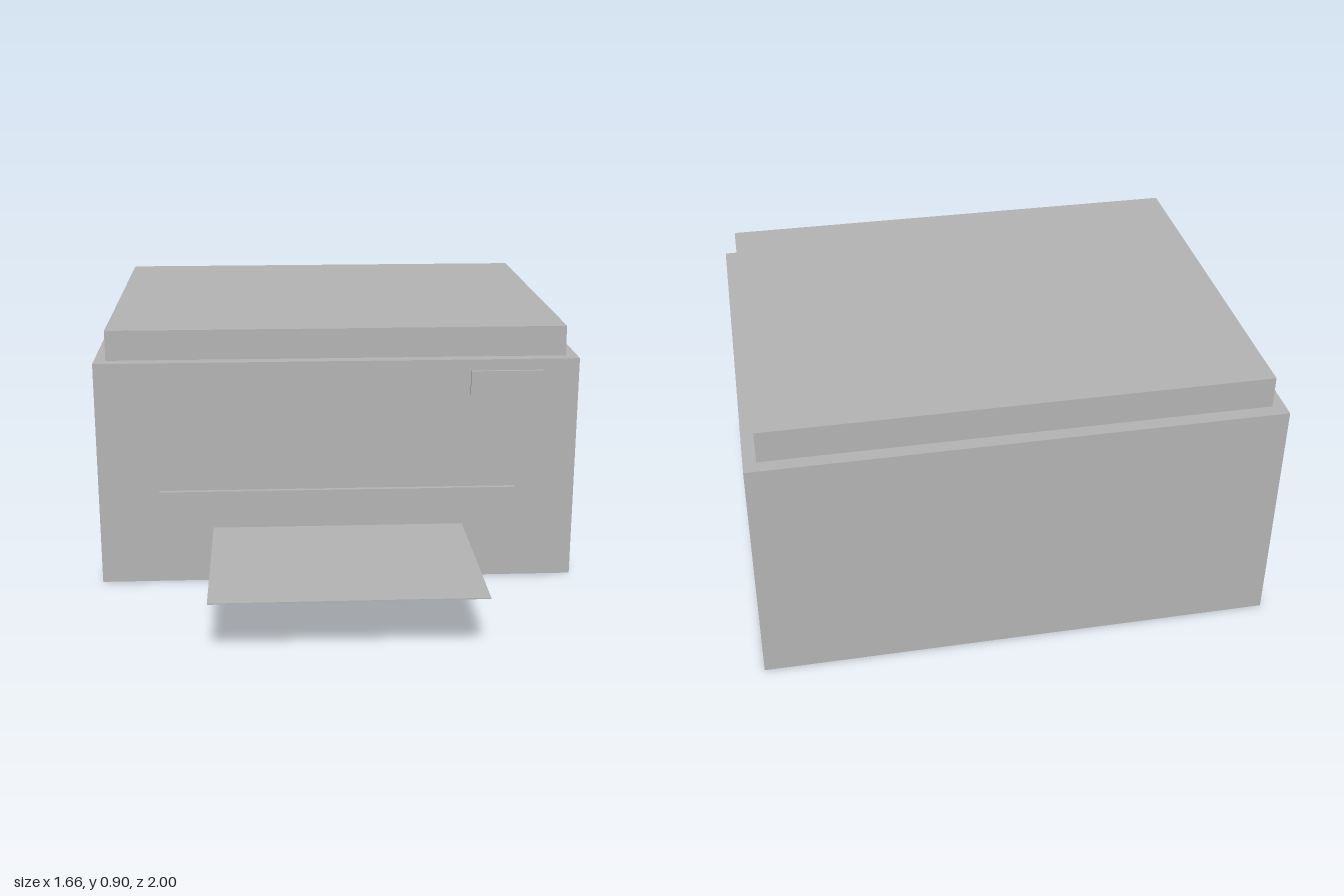
import * as THREE from 'three';

export function createModel() {
  const model = new THREE.Group();
  model.name = 'printer';

  const grey = new THREE.MeshStandardMaterial({ color: 0xb3b3b3 });
  grey.name = 'plain grey';

  // Box given by its extents along each axis
  function addBox(name, [x0, x1], [y0, y1], [z0, z1]) {
    const mesh = new THREE.Mesh(new THREE.BoxGeometry(x1 - x0, y1 - y0, z1 - z0), grey);
    mesh.name = name;
    mesh.position.set((x0 + x1) / 2, (y0 + y1) / 2, (z0 + z1) / 2);
    model.add(mesh);
  }

  const front = 0.334;

  // Main housing and the scanner lid on top
  addBox('body', [-0.83, 0.83], [0, 0.792], [-1, front]);
  addBox('lid', [-0.79, 0.79], [0.792, 0.896], [-0.955, 0.29]);

  // Raised plates on the front
  addBox('outputSlot', [-0.62, 0.62], [0.19, 0.336], [front, 0.351]);
  addBox('controlPanel', [0.456, 0.704], [0.67, 0.753], [front, 0.345]);

  // Sheet coming out of the slot
  addBox('paper', [-0.436, 0.436], [0.199, 0.203], [front, 1]);

  return model;
}
